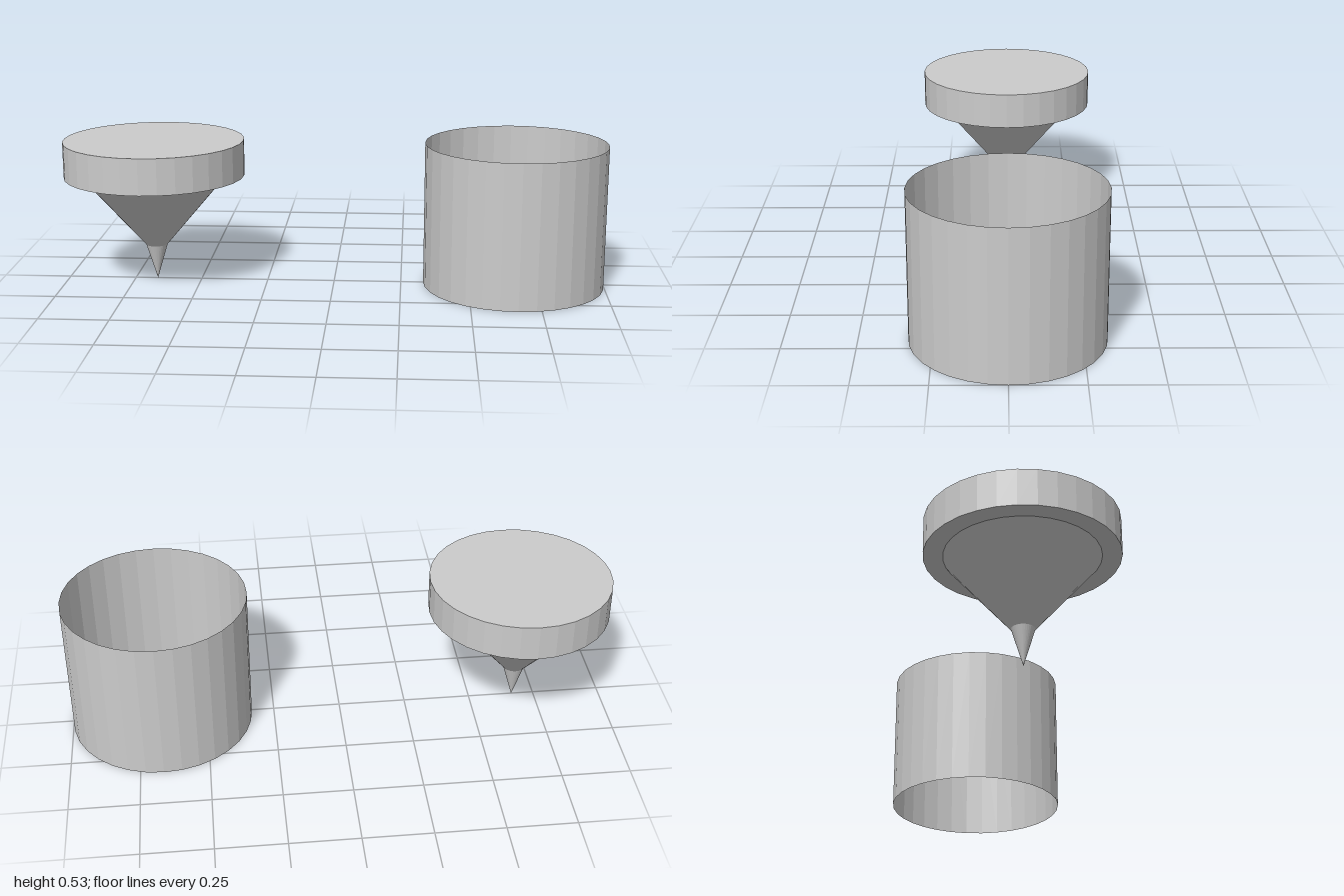
import * as THREE from 'three';

const SIDES = 32;
const RADIUS = 1 / 3;
const HEIGHT = 0.5333;

export function createModel() {
  const model = new THREE.Group();
  const solid = new THREE.MeshStandardMaterial({ color: 0xcccccc, flatShading: true });
  const thin = new THREE.MeshStandardMaterial({ color: 0xcccccc, flatShading: true, side: THREE.DoubleSide });

  // A round section between two heights, closed unless open is set
  const section = (name, rTop, rBottom, yBottom, yTop, material = solid, open = false) => {
    const geometry = new THREE.CylinderGeometry(rTop, rBottom, yTop - yBottom, SIDES, 1, open);
    const mesh = new THREE.Mesh(geometry, material);
    mesh.name = name;
    mesh.position.y = (yBottom + yTop) / 2;
    return mesh;
  };

  // Spinning top: flat disc, tapered body and pointed tip
  const spinningTop = new THREE.Group();
  spinningTop.name = 'spinningTop';
  spinningTop.position.x = -2 / 3;
  spinningTop.add(
    section('disc', RADIUS, RADIUS, 0.4, HEIGHT),
    section('body', 0.2667, 0.04, 0.1333, 0.4),
    section('tip', 0.04, 0, 0, 0.1333),
  );

  // Thin sleeve, open at both ends
  const sleeve = section('sleeve', RADIUS, RADIUS, 0, HEIGHT, thin, true);
  sleeve.position.x = 2 / 3;

  model.add(spinningTop, sleeve);
  return model;
}
